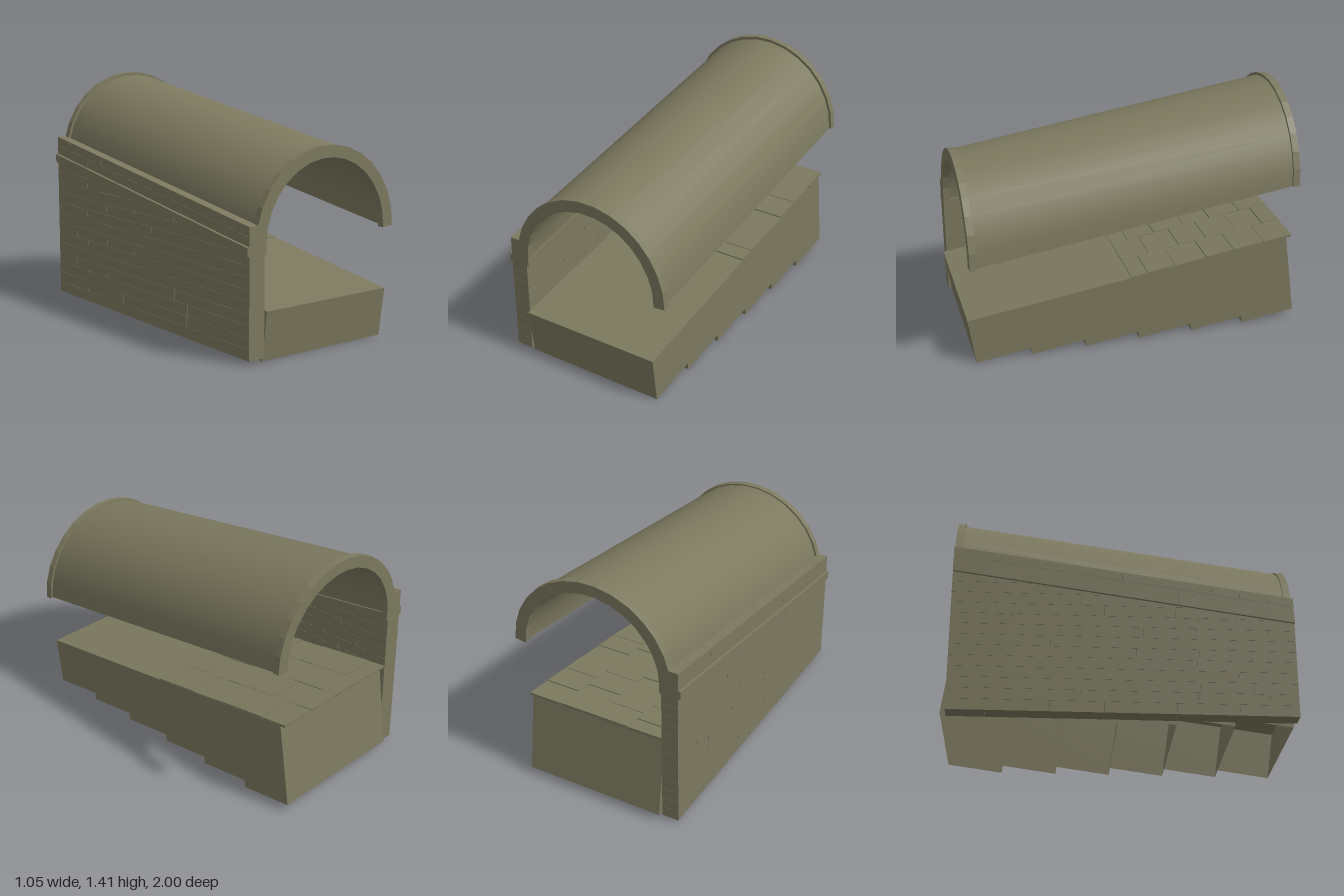
import * as THREE from 'three';

const FRONT = 0.98, BACK = -0.965, SLOPE = 0.142;
const stone = new THREE.MeshStandardMaterial({ color: 0x7c795f, side: THREE.DoubleSide });
stone.name = 'olive stone';

// height of a sloping line that is y at the front end
const rise = (y, z) => y + (FRONT - z) * SLOPE;

// flat outline from [z, y] points
const outline = (points) => new THREE.Shape(points.map(([z, y]) => new THREE.Vector2(z, y)));

// side profile of [z, y] points, extruded from x0 to x1
function prism(points, x0, x1) {
  const g = new THREE.ExtrudeGeometry(outline(points), { depth: x1 - x0, bevelEnabled: false });
  return g.rotateY(-Math.PI / 2).translate(x1, 0, 0);
}

// rectangular panel between two [z, y] points, from x0 to x1
function panel([za, ya], [zb, yb], x0, x1) {
  const g = new THREE.BufferGeometry();
  g.setAttribute('position', new THREE.Float32BufferAttribute(
    [x0, ya, za, x1, ya, za, x1, yb, zb, x0, yb, zb], 3));
  g.setIndex([0, 1, 2, 0, 2, 3]);
  g.computeVertexNormals();
  return g;
}

function add(parent, name, geometry) {
  const mesh = new THREE.Mesh(geometry, stone);
  mesh.name = name;
  parent.add(mesh);
  return mesh;
}

function group(parent, name) {
  const g = new THREE.Group();
  g.name = name;
  parent.add(g);
  return g;
}

// keep the part of a polygon below the sloping line
function clipBelow(points, y) {
  const out = [];
  points.forEach((p, i) => {
    const q = points[(i + 1) % points.length];
    const dp = rise(y, p[0]) - p[1], dq = rise(y, q[0]) - q[1];
    if (dp >= 0) out.push(p);
    if (dp * dq < 0) {
      const t = dp / (dp - dq);
      out.push([p[0] + (q[0] - p[0]) * t, p[1] + (q[1] - p[1]) * t]);
    }
  });
  return out;
}

// solid half ring of fifteen facets
function rimGeometry(outer, inner, depth) {
  const n = 15, pts = [];
  for (let i = 0; i <= n; i++) {
    const a = (Math.PI * i) / n;
    pts.push(new THREE.Vector2(Math.cos(a) * outer, Math.sin(a) * outer));
  }
  for (let i = n; i >= 0; i--) {
    const a = (Math.PI * i) / n, drop = i === 0 || i === n ? 0.008 : 0;
    pts.push(new THREE.Vector2(Math.cos(a) * inner, Math.sin(a) * inner - drop));
  }
  return new THREE.ExtrudeGeometry(new THREE.Shape(pts), { depth, bevelEnabled: false });
}

// open half cylinder, sheared to follow the ramp
function vaultShell(radius) {
  const g = new THREE.CylinderGeometry(radius, radius, FRONT - BACK - 0.04, 15, 1, true,
    Math.PI / 2, Math.PI);
  g.rotateX(Math.PI / 2).translate(0.028, 0, (FRONT + BACK) / 2);
  const p = g.attributes.position;
  for (let i = 0; i < p.count; i++) p.setY(i, p.getY(i) + rise(0.641, p.getZ(i)));
  g.computeVertexNormals();
  return g;
}

export function createModel() {
  const model = new THREE.Group();
  model.name = 'vaulted ramp';

  // ramp: a shell open at the bottom, with saw-toothed sides and leaning partitions
  const ramp = group(model, 'ramp');
  const X0 = -0.408, X1 = 0.457, LOW = [1, 0.285], HIGH = [-0.93, 0.55], HEEL = [-1, 0.045];
  const side = [LOW];
  for (let i = 0; i < 6; i++) {
    const z = 0.96 - i * 0.327;
    side.push([z, 0], i < 5 ? [z - 0.322, 0.045] : HEEL);
    const top = z + 0.04 + i * 0.006;
    const topY = LOW[1] + (LOW[0] - top) * 0.1373;
    add(ramp, i ? 'partition' : 'frontPanel', panel([z, 0], [top, topY], X0, X1));
  }
  side.push(HIGH);
  for (const x of [X0, X1]) {
    const g = new THREE.ShapeGeometry(outline(side)).rotateY(-Math.PI / 2);
    add(ramp, 'sidePanel', g).position.x = x;
  }
  add(ramp, 'rampTop', panel(LOW, HIGH, X0, X1));
  add(ramp, 'backPanel', panel(HIGH, HEEL, X0, X1));

  // paving slabs on the upper half, in four staggered columns
  const paving = group(model, 'paving');
  const paveTop = (z) => 0.425 + (0.03 - z) * 0.1425;
  for (let c = 0; c < 4; c++) {
    const x0 = X0 + c * 0.21625;
    let z = 0.03, row = 0;
    while (z > BACK + 0.02) {
      const step = row === 0 && c % 2 ? 0.1 : 0.17 + 0.02 * ((row + c) % 2);
      const end = z - step < BACK + 0.06 ? BACK : z - step;
      const lift = (row * 2 + c) % 3 === 1 ? -0.003 : 0;
      const a = z - 0.002, b = end + 0.002;
      add(paving, 'slab', prism([[a, paveTop(a) + lift], [a, paveTop(a) - 0.018],
        [b, paveTop(b) - 0.018], [b, paveTop(b) + lift]], x0 + 0.001, x0 + 0.21525));
      z = end;
      row++;
    }
  }

  // side wall of staggered bricks, cut off along the slope
  const wall = group(model, 'brickWall');
  const pitch = 0.065, joint = 0.001;
  for (let r = 0; r < 14; r++) {
    const y0 = 0.023 + r * pitch, y1 = y0 + pitch - joint;
    let z = FRONT, k = 0;
    while (z > BACK + 0.01) {
      const length = k === 0 ? [0.33, 0.16, 0.25][r % 3] : 0.3 + 0.05 * ((r + k) % 3);
      const end = z - length < BACK + 0.1 ? BACK : z - length;
      const b = end === BACK ? BACK : end + joint;
      const brick = clipBelow([[z, y0], [z, y1], [b, y1], [b, y0]], 0.59);
      if (brick.length > 2) add(wall, 'brick', prism(brick, -0.513, -0.41));
      z = end;
      k++;
    }
  }

  // sloping courses: a projecting coping and two parapet courses above it
  const course = (name, y0, y1, x0, x1, cuts) => {
    const g = group(model, name);
    for (let i = 0; i + 1 < cuts.length; i++) {
      const a = cuts[i], b = cuts[i + 1] + (i + 2 < cuts.length ? joint : 0);
      add(g, name + 'Stone', prism([[a, rise(y0, a)], [a, rise(y1, a)],
        [b, rise(y1, b)], [b, rise(y0, b)]], x0, x1));
    }
  };
  course('coping', 0.59, 0.64, -0.528, -0.397, [FRONT, 0.82, 0.32, 0, -0.47, -0.79, BACK]);
  course('lowerParapet', 0.641, 0.695, -0.513, -0.452, [FRONT, 0.67, 0.33, -0.14, -0.61, BACK]);
  course('upperParapet', 0.696, 0.75, -0.513, -0.452,
    [FRONT, 0.83, 0.67, 0.51, 0, -0.46, -0.61, -0.82, BACK]);

  // barrel vault: outer and inner skins
  add(model, 'vaultOuterSkin', vaultShell(0.483));
  add(model, 'vaultInnerSkin', vaultShell(0.432));

  // upright rim at each end of the vault
  for (const [name, z, y] of [['frontRim', FRONT - 0.04, 0.641], ['backRim', BACK, 0.914]]) {
    add(model, name, rimGeometry(0.497, 0.428, 0.04)).position.set(0.028, y, z);
  }
  return model;
}
